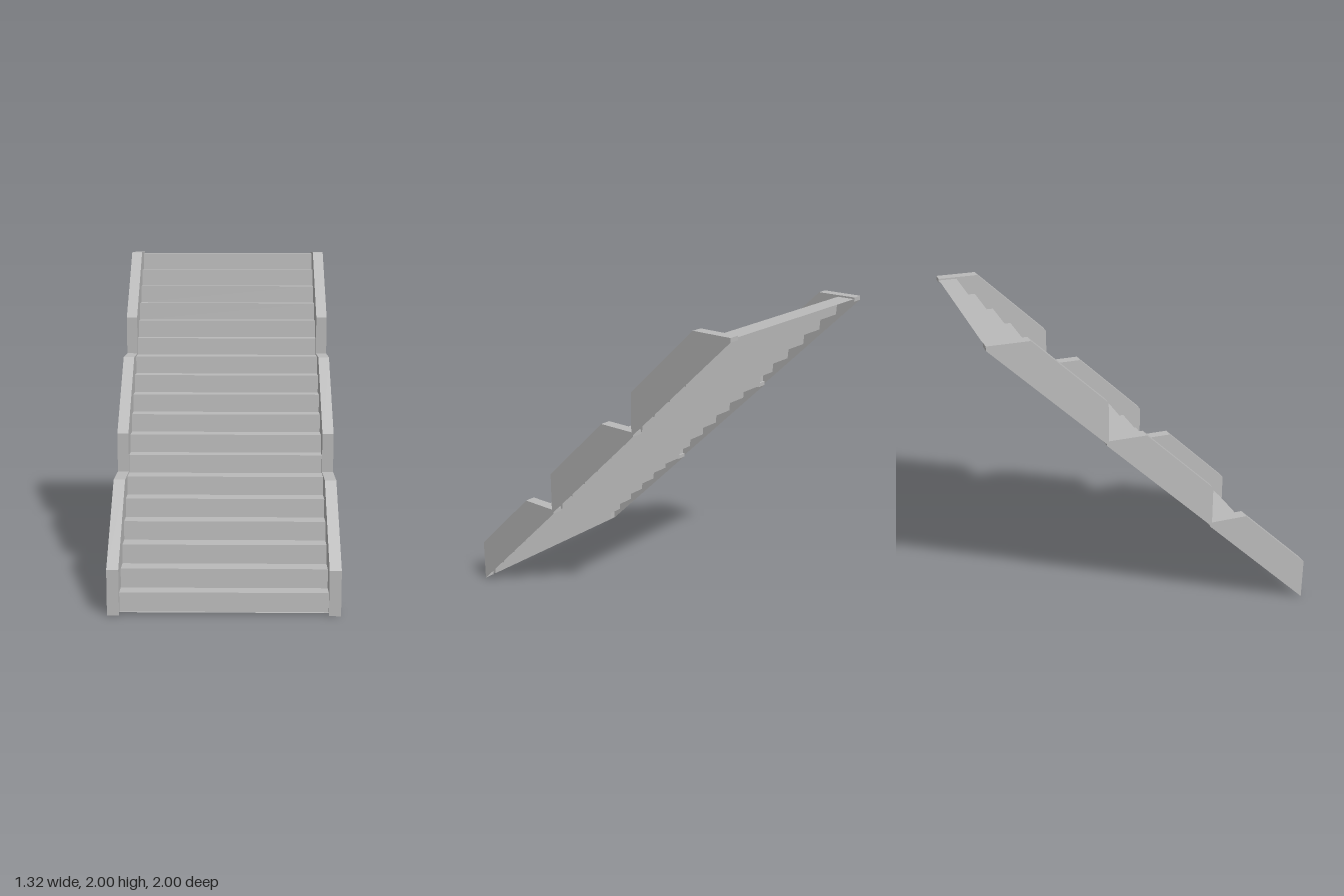
import * as THREE from 'three';

const STEPS = 6, RISE = 0.11, INNER = 0.592, OUTER = 0.66;

// Profiles are [depth, height] pairs, depth running towards the back (-z).
const wallProfile = [[-1, 0], [-1, 0.265], [-0.568, 0.685], [-0.325, 0.685], [-0.325, 0.66]];

function stepProfile() {
  const points = [[-0.99, 0.015], [-0.977, 0.015], [-0.969, 0.125]];
  for (let i = 1; i < STEPS; i++) {
    const depth = -0.99 + i * RISE, y = 0.015 + i * RISE;
    points.push([depth - 0.004, y], [depth + 0.004, y + RISE]);
  }
  points.push([-0.328, 0.675]);
  return points;
}

// Flat-faced sheet that follows a profile between two x positions
function ribbon(profile, x0, x1) {
  const pos = [];
  for (let i = 0; i < profile.length - 1; i++) {
    const [u0, y0] = profile[i], [u1, y1] = profile[i + 1];
    const a = [x0, y0, -u0], b = [x1, y0, -u0], c = [x1, y1, -u1], d = [x0, y1, -u1];
    pos.push(...a, ...b, ...c, ...a, ...c, ...d);
  }
  const geometry = new THREE.BufferGeometry();
  geometry.setAttribute('position', new THREE.Float32BufferAttribute(pos, 3));
  geometry.computeVertexNormals();
  return geometry;
}

// Upright panel across x, cut to an outline
function panel(outline, x) {
  const shape = new THREE.Shape(outline.map(([u, y]) => new THREE.Vector2(u, y)));
  return new THREE.ShapeGeometry(shape).rotateY(Math.PI / 2).translate(x, 0, 0);
}

export function createModel() {
  const concrete = new THREE.MeshStandardMaterial({ color: 0xbababa, side: THREE.DoubleSide });
  concrete.name = 'concreteGrey';

  const steps = stepProfile();
  // Inner panels stop at the steps, leaving the walls open underneath
  const innerOutline = [...steps, ...wallProfile.slice(0, 4).reverse()];
  const stairGeometry = ribbon(steps, -INNER, INNER);

  const model = new THREE.Group();
  model.name = 'staircase';

  // Three identical flights, each higher and further back
  for (let f = 0; f < 3; f++) {
    const flight = new THREE.Group();
    flight.name = 'flight' + (f + 1);
    flight.position.set(0, f * 0.6575, -f * 0.662);
    const add = (name, geometry) => {
      const mesh = new THREE.Mesh(geometry, concrete);
      mesh.name = name;
      flight.add(mesh);
    };

    add('steps', stairGeometry);

    // Hollow side walls: capping, outer panel and inner panel
    for (const [side, s] of [['left', 1], ['right', -1]]) {
      add(side + 'WallCapping', ribbon(wallProfile, Math.min(s * INNER, s * OUTER), Math.max(s * INNER, s * OUTER)));
      add(side + 'OuterPanel', panel(wallProfile, s * OUTER));
      add(side + 'InnerPanel', panel(innerOutline, s * INNER));
    }
    model.add(flight);
  }
  return model;
}
